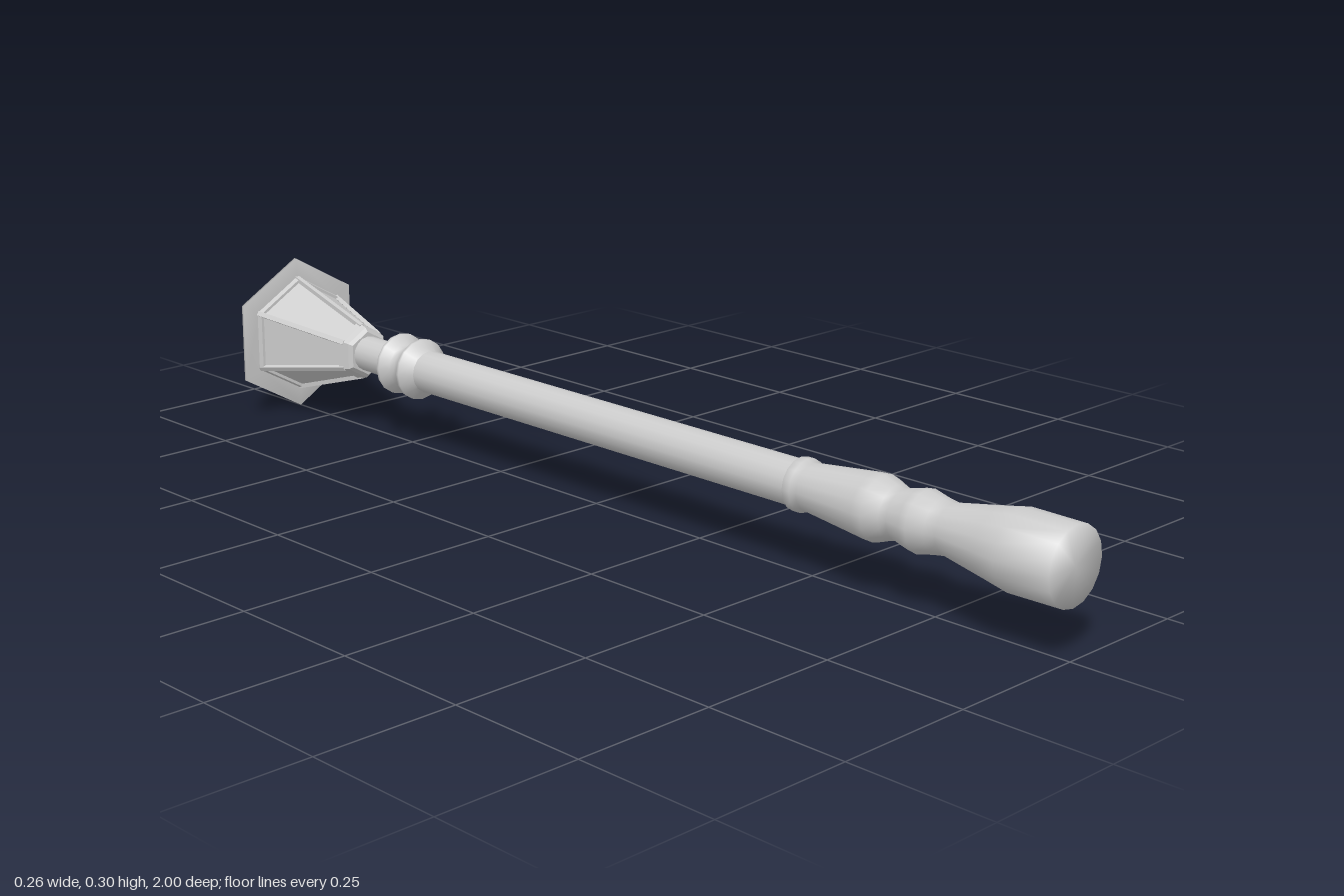
import * as THREE from 'three';

const grey = new THREE.MeshStandardMaterial({ color: 0xcccccc });
const greyFlat = new THREE.MeshStandardMaterial({ color: 0xcccccc, flatShading: true });

// Turned part from [radius, height] pairs, listed from bottom to top
function turned(name, profile, sides, material = grey) {
  const points = profile.map(([r, y]) => new THREE.Vector2(r, y));
  const mesh = new THREE.Mesh(new THREE.LatheGeometry(points, sides), material);
  mesh.name = name;
  return mesh;
}

export function createModel() {
  // Lamp post built upright on the y axis, then laid down with its tip towards -z
  const post = new THREE.Group();
  post.name = 'lampPost';

  post.add(turned('base', [
    [0, -1], [0.065, -1], [0.066, -0.9], [0.058, -0.86], [0.042, -0.775],
    [0.045, -0.755], [0.052, -0.725], [0.05, -0.71], [0.042, -0.68],
    [0.045, -0.667], [0.055, -0.64], [0.054, -0.62], [0.04, -0.495],
    [0.045, -0.485], [0.045, -0.47], [0.038, -0.465],
  ], 16));

  post.add(turned('pole', [[0.039, -0.48], [0.039, 0.46]], 16));

  post.add(turned('rings', [
    [0.038, 0.445], [0.044, 0.455], [0.057, 0.468], [0.057, 0.474], [0.043, 0.49],
    [0.041, 0.5], [0.043, 0.51], [0.057, 0.525], [0.057, 0.531], [0.044, 0.545], [0.033, 0.552],
  ], 16));

  post.add(turned('neck', [[0.033, 0.54], [0.033, 0.64]], 16));

  // Six-sided lantern
  const lantern = new THREE.Group();
  lantern.name = 'lantern';
  post.add(lantern);
  const y0 = 0.645, y1 = 0.843, r0 = 0.053, r1 = 0.113;

  lantern.add(turned('lanternFoot', [
    [0, 0.627], [0.042, 0.627], [0.049, 0.633], [0.053, 0.645], [0.053, 0.65], [0, 0.65],
  ], 6, greyFlat));

  const glass = new THREE.Mesh(
    new THREE.CylinderGeometry(r1 - 0.006, r0 - 0.006, y1 - y0, 6), greyFlat);
  glass.name = 'glassPanels';
  glass.position.y = (y0 + y1) / 2;
  lantern.add(glass);

  // Horizontal rails below and above the glass
  const radiusAt = (y) => r0 + (r1 - r0) * (y - y0) / (y1 - y0);
  for (const [name, a, b] of [['lowerRail', y0, y0 + 0.01], ['upperRail', y1 - 0.01, y1]]) {
    const ra = radiusAt(a), rb = radiusAt(b);
    lantern.add(turned(name, [
      [ra - 0.009, a], [ra, a], [rb, b], [rb - 0.009, b], [ra - 0.009, a],
    ], 6, greyFlat));
  }

  // Leaning bars along the six corners
  const lean = Math.atan2(r1 - r0, y1 - y0);
  const barLength = Math.hypot(r1 - r0, y1 - y0);
  for (let i = 0; i < 6; i++) {
    const corner = new THREE.Group();
    corner.name = 'cornerBar' + (i + 1);
    corner.rotation.y = i * Math.PI / 3;
    const bar = new THREE.Mesh(new THREE.BoxGeometry(0.009, barLength, 0.008), greyFlat);
    bar.position.set(0, (y0 + y1) / 2, (r0 + r1) / 2 - 0.004);
    bar.rotation.x = lean;
    corner.add(bar);
    lantern.add(corner);
  }

  // Flared roof with a pointed tip
  lantern.add(turned('roof', [
    [0, 0.842], [0.11, 0.842], [0.148, 0.845], [0.148, 0.85], [0.115, 0.854],
    [0.096, 0.862], [0.077, 0.877], [0.057, 0.899], [0.038, 0.927], [0.02, 0.96], [0, 1],
  ], 6));

  post.rotation.x = -Math.PI / 2;
  post.position.y = 0.148;

  const model = new THREE.Group();
  model.name = 'streetLamp';
  model.add(post);
  return model;
}
